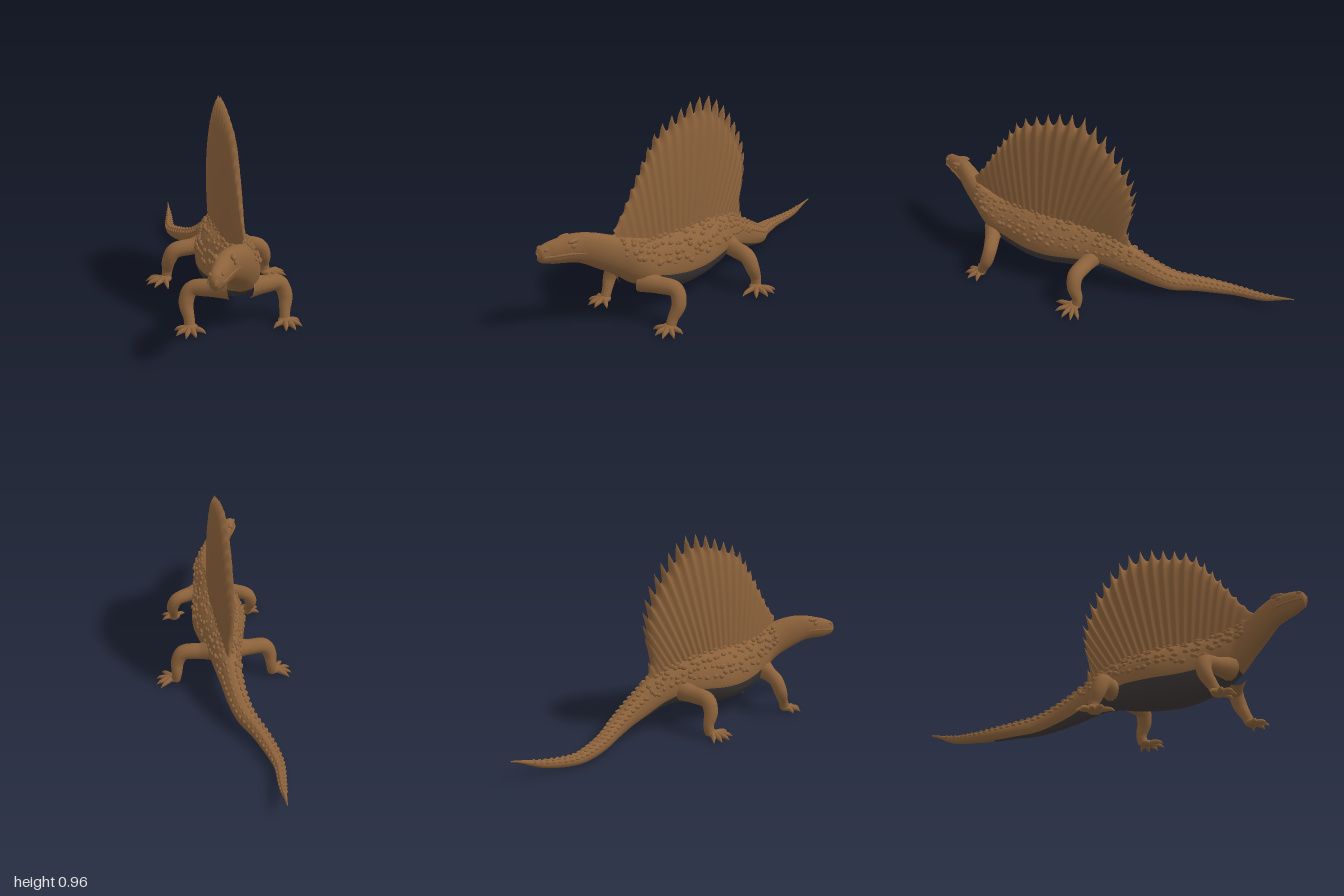
import * as THREE from 'three';

const V = (x, y, z) => new THREE.Vector3(x, y, z);
const { smoothstep, lerp } = THREE.MathUtils;
const hide = new THREE.MeshStandardMaterial({ color: 0x8c623b });
hide.name = 'brown hide';
const belly = new THREE.MeshStandardMaterial({ color: 0x3d3736 });
belly.name = 'dark grey belly';

// Body sections: z, centre x, top, bottom, half width
const SECTIONS = [
  [1.0, -0.17, 0.405, 0.385, 0.006],
  [0.985, -0.167, 0.43, 0.362, 0.026],
  [0.94, -0.15, 0.45, 0.348, 0.039],
  [0.84, -0.1, 0.47, 0.335, 0.054],
  [0.77, -0.055, 0.463, 0.295, 0.063],
  [0.7, -0.018, 0.44, 0.25, 0.067],
  [0.64, 0.004, 0.42, 0.2, 0.078],
  [0.58, 0.005, 0.4, 0.155, 0.095],
  [0.48, 0, 0.385, 0.105, 0.106],
  [0.36, 0, 0.38, 0.082, 0.13],
  [0.24, 0, 0.38, 0.082, 0.14],
  [0.1, 0.004, 0.37, 0.1, 0.118],
  [0, 0.005, 0.35, 0.12, 0.09],
  [-0.1, 0.003, 0.31, 0.115, 0.073],
  [-0.2, -0.005, 0.25, 0.085, 0.057],
  [-0.3, -0.018, 0.19, 0.06, 0.05],
  [-0.4, -0.047, 0.135, 0.035, 0.046],
  [-0.5, -0.098, 0.1, 0.02, 0.038],
  [-0.6, -0.135, 0.075, 0.01, 0.033],
  [-0.7, -0.155, 0.06, 0.01, 0.025],
  [-0.85, -0.142, 0.07, 0.033, 0.017],
  [-1.0, -0.131, 0.1, 0.094, 0.002],
];
// Half angle of the dark underside, widest below the trunk
const bellyAngle = z => Math.max(0.3, Math.min(1.4, (0.66 - z) * 10, 1.25 + z * 1.6));

// Smoothly interpolated section at section index s
function sectionAt(s) {
  const n = SECTIONS.length - 1;
  const i = Math.min(Math.floor(s), n - 1), t = s - i;
  const [a, b, c, d] = [-1, 0, 1, 2].map(k => SECTIONS[Math.min(Math.max(i + k, 0), n)]);
  return b.map((p, k) => k === 0 ? p + (c[0] - p) * t
    : p + 0.5 * t * (c[k] - a[k] + t * (2 * a[k] - 5 * p + 4 * c[k] - d[k] + t * (3 * (p - c[k]) + d[k] - a[k]))));
}
function sectionAtZ(z) {
  let i = 0;
  while (i < SECTIONS.length - 2 && SECTIONS[i + 1][0] > z) i++;
  return sectionAt(i + (SECTIONS[i][0] - z) / (SECTIONS[i][0] - SECTIONS[i + 1][0]));
}
// Point on a section; the trunk hangs low and narrows towards the spine
function skin([z, cx, top, bottom, half], angle) {
  const trunk = smoothstep(z, -0.4, 0) * (1 - smoothstep(z, 0.5, 0.68));
  const mid = lerp(bottom, top, 0.5 - 0.08 * trunk);
  const c = Math.cos(angle), s = Math.sin(angle);
  const x = Math.sign(c) * Math.pow(Math.abs(c), s > 0 ? 0.9 + 0.3 * trunk : 0.9) * half;
  return V(cx + x, mid + s * (s > 0 ? top - mid : mid - bottom), z);
}

// Joins closed rings into a smooth surface; isSecond picks faces for the second material
function loft(rings, flip, isSecond = () => false) {
  const n = rings[0].length, faces = [[], []];
  for (let i = 0; i < rings.length - 1; i++) for (let j = 0; j < n; j++) {
    const k = (j + 1) % n, a = i * n + j, b = i * n + k, c = a + n, d = b + n;
    faces[isSecond(i, j) ? 1 : 0].push(...(flip ? [a, c, b, b, c, d] : [a, b, c, b, d, c]));
  }
  const g = new THREE.BufferGeometry().setFromPoints(rings.flat());
  g.setIndex(faces.flat());
  g.addGroup(0, faces[0].length, 0);
  if (faces[1].length) g.addGroup(faces[0].length, faces[1].length, 1);
  g.computeVertexNormals();
  return g;
}

// Tapered limb through [x, y, z, radius] points
function limb(points, steps = 20, sides = 12) {
  const curve = new THREE.CatmullRomCurve3(points.map(p => V(p[0], p[1], p[2])));
  const frames = curve.computeFrenetFrames(steps);
  const rings = [];
  for (let i = 0; i <= steps; i++) {
    const u = i / steps, q = curve.getUtoTmapping(u) * (points.length - 1);
    const k = Math.min(Math.floor(q), points.length - 2);
    const r = lerp(points[k][3], points[k + 1][3], q - k);
    rings.push(Array.from({ length: sides }, (_, j) => {
      const a = j / sides * Math.PI * 2;
      return curve.getPointAt(u).addScaledVector(frames.normals[i], Math.cos(a) * r)
        .addScaledVector(frames.binormals[i], Math.sin(a) * r);
    }));
  }
  return loft(rings, false);
}

function add(parent, name, geometry, material = hide) {
  const mesh = new THREE.Mesh(geometry, material);
  mesh.name = name;
  parent.add(mesh);
  return mesh;
}
const ball = new THREE.SphereGeometry(1, 12, 8);
function lump(parent, name, p, sx, sy, sz) {
  const m = add(parent, name, ball);
  m.position.copy(p);
  m.scale.set(sx, sy, sz);
}

// Head, trunk and tail in one skin, with the belly as a second material
function bodyGeometry() {
  const per = 5, rings = [], betas = [], under = 10, over = 30;
  for (let i = 0; i <= (SECTIONS.length - 1) * per; i++) {
    const s = sectionAt(i / per), beta = bellyAngle(s[0]);
    betas.push(beta);
    rings.push(Array.from({ length: under + over }, (_, j) => skin(s, -Math.PI / 2 + (j < under
      ? -beta + 2 * beta * j / under
      : beta + (2 * Math.PI - 2 * beta) * (j - under) / over))));
  }
  return loft(rings, true, (i, j) => j < under && betas[i] > 0.32);
}

// Sail: ribs fan from the spine to a scalloped, spiny edge
function sailGeometry() {
  const edge = new THREE.CatmullRomCurve3([[0.71, 0.47], [0.66, 0.53], [0.6, 0.62], [0.52, 0.74], [0.42, 0.86],
    [0.3, 0.91], [0.18, 0.945], [0.07, 0.945], [-0.03, 0.88], [-0.12, 0.78], [-0.18, 0.67], [-0.2, 0.56],
    [-0.185, 0.46], [-0.16, 0.37], [-0.18, 0.27]].map(([z, y]) => V(0, y, z)));
  const ribs = 25, fine = 8, rows = 14, rings = [];
  for (let i = 0; i <= ribs * fine; i++) {
    const u = i / (ribs * fine), wave = (i % fine) / fine;
    const spike = Math.abs(wave - 0.5) * 2;
    const tip = edge.getPointAt(u);
    const z = 0.68 - 0.83 * Math.pow(u, 0.87);
    const base = V(0, sectionAtZ(z)[2] - 0.05, z);
    tip.y += 0.025 * u * Math.pow(spike, 3);
    tip.lerp(base, (0.065 + 0.13 * u * u) * (1 - spike * spike));
    const thick = 0.052 * Math.pow(Math.sin(Math.PI * (0.03 + 0.94 * u)), 0.7) * (0.93 + 0.07 * Math.cos(wave * 2 * Math.PI));
    rings.push(Array.from({ length: 2 * rows + 1 }, (_, j) => {
      const v = 1 - Math.abs(j - rows) / rows;
      const p = base.clone().lerp(tip, v);
      p.x = Math.sign(rows - j) * thick * Math.sqrt(1 - v * v);
      return p;
    }));
  }
  return loft(rings, true);
}

function foot(leg, x, z, toes) {
  lump(leg, 'palm', V(x, 0.022, z), 0.036, 0.018, 0.034);
  for (const [tx, tz] of toes) {
    add(leg, 'toe', limb([[x, 0.022, z, 0.014], [lerp(x, tx, 0.5), 0.021, lerp(z, tz, 0.5), 0.0125],
      [lerp(x, tx, 0.78), 0.017, lerp(z, tz, 0.78), 0.0095], [tx, 0.006, tz, 0.001]], 10, 8));
  }
}

export function createModel() {
  const model = new THREE.Group();
  model.name = 'sail-backed reptile';
  add(model, 'body', bodyGeometry(), [hide, belly]);
  add(model, 'sail', sailGeometry());

  // Legs, mirrored about the middle
  for (const side of [1, -1]) {
    const front = new THREE.Group(), back = new THREE.Group();
    front.name = side > 0 ? 'leftFrontLeg' : 'rightFrontLeg';
    back.name = side > 0 ? 'leftBackLeg' : 'rightBackLeg';
    add(front, 'frontLimb', limb([[side * 0.04, 0.2, 0.59, 0.055], [side * 0.12, 0.19, 0.56, 0.04],
      [side * 0.2, 0.178, 0.53, 0.036], [side * 0.226, 0.12, 0.54, 0.034],
      [side * 0.218, 0.06, 0.57, 0.025], [side * 0.215, 0.018, 0.59, 0.024]], 28));
    foot(front, side * 0.216, 0.595, [[0.285, 0.58], [0.283, 0.635], [0.245, 0.67], [0.2, 0.67], [0.152, 0.635]]
      .map(([x, z]) => [side * x, z]));
    add(back, 'backLimb', limb([[side * 0.03, 0.2, 0.0, 0.06], [side * 0.12, 0.185, 0.02, 0.042],
      [side * 0.215, 0.172, 0.035, 0.04], [side * 0.244, 0.12, 0.03, 0.035],
      [side * 0.25, 0.06, 0.01, 0.026], [side * 0.258, 0.018, 0.015, 0.025]], 28));
    foot(back, side * 0.265, 0.025, [[0.34, -0.035], [0.36, 0.0], [0.358, 0.05], [0.325, 0.1], [0.26, 0.125]]
      .map(([x, z]) => [side * x, z]));
    model.add(front, back);
  }

  // Deterministic jitter for the scales
  let seed = 7;
  const rand = () => (seed = (seed * 16807) % 2147483647) / 2147483647;
  const head = new THREE.Group(), scales = new THREE.Group();
  head.name = 'headDetails';
  scales.name = 'scales';
  for (const side of [1, -1]) {
    const on = (z, a) => skin(sectionAtZ(z), side > 0 ? a : Math.PI - a);
    // Brow, eye, nostril rim and lip
    lump(head, 'brow', on(0.865, 0.85), 0.014, 0.011, 0.034);
    lump(head, 'eye', on(0.872, 0.45), 0.008, 0.011, 0.014);
    lump(head, 'nostril', on(0.968, 0.7), 0.008, 0.008, 0.013);
    add(head, 'lip', limb([0.98, 0.96, 0.92, 0.88, 0.83].map((z, i) => {
      const p = on(z, -0.15);
      return [p.x, p.y, p.z, i === 4 ? 0.002 : 0.0055];
    }), 16, 8));
    // Knobs on the flanks and back
    for (let z = 0.66; z > -0.22; z -= 0.034) for (let row = 0; row < 4; row++) {
      const size = 0.008 + rand() * 0.006;
      lump(scales, 'knob', on(z + rand() * 0.026, 0.2 + row * 0.27 + rand() * 0.18), size * 0.8, size, size * 1.25);
    }
    // Small rows of scales along the tail
    for (let z = -0.22; z > -0.9; z -= 0.028) {
      const size = 0.004 + 0.007 * (z + 0.95);
      for (const a of [0.5, 1.15]) lump(scales, 'tailScale', on(z, a), size, size, size * 1.8);
    }
  }
  model.add(head, scales);
  return model;
}
